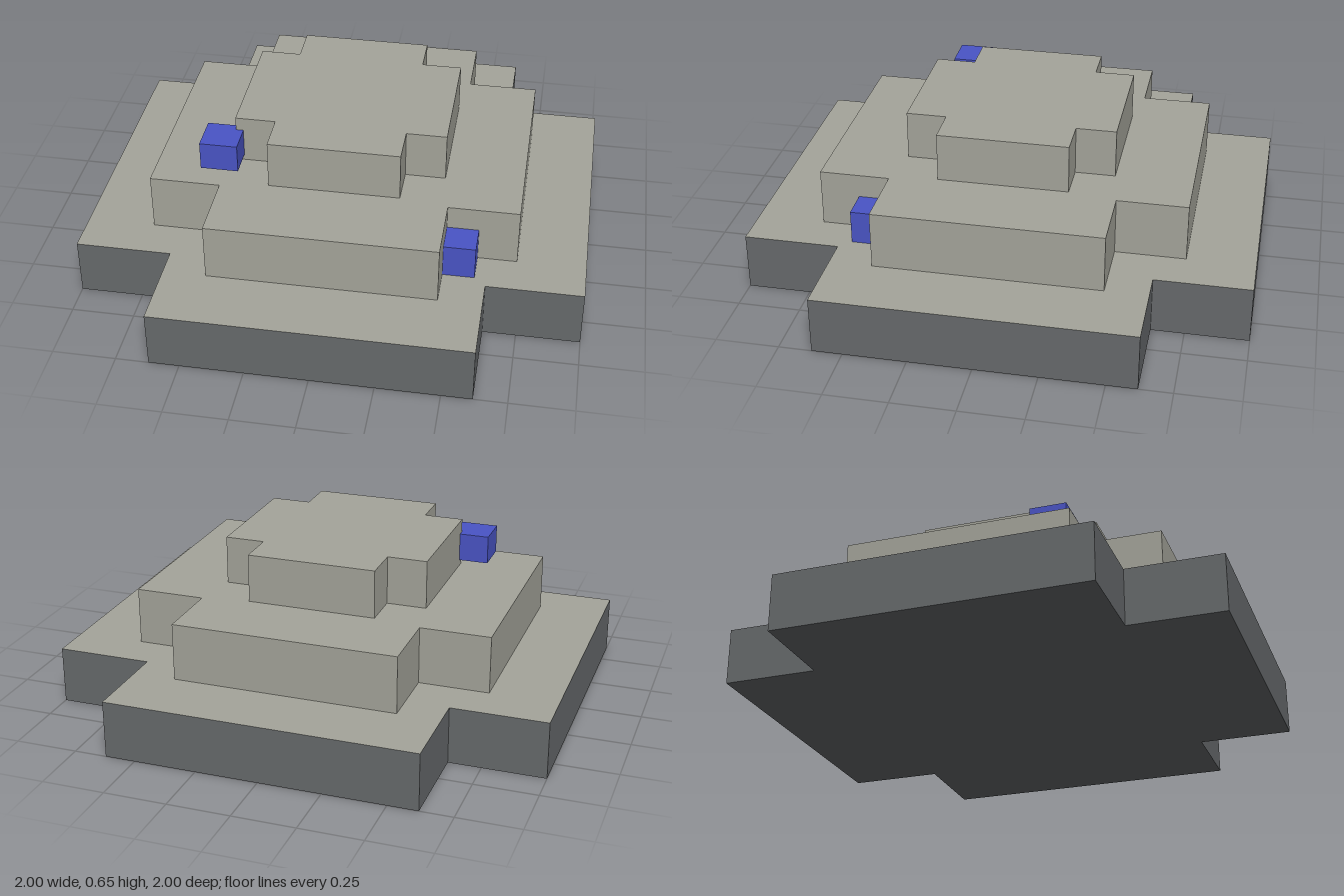
import * as THREE from 'three';

// Plus-shaped slab standing on y; long is the arm reach, short the arm half-width
function crossSlab(long, short, y, height) {
  const corner = [[long, -short], [long, short], [short, short], [short, long]];
  const points = [];
  for (let q = 0; q < 4; q++) {
    // rotate the first three corners of each quarter by q * 90 degrees
    for (const [px, py] of corner.slice(0, 3)) {
      let [a, b] = [px, py];
      for (let i = 0; i < q; i++) [a, b] = [-b, a];
      points.push(new THREE.Vector2(a, b));
    }
  }
  const geometry = new THREE.ExtrudeGeometry(new THREE.Shape(points), { depth: height, bevelEnabled: false });
  geometry.rotateX(-Math.PI / 2).translate(0, y, 0);
  return geometry;
}

export function createModel() {
  const model = new THREE.Group();
  model.name = 'steppedPlatform';

  const stone = new THREE.MeshStandardMaterial({ name: 'pale stone', color: 0xa5a59b });
  const darkStone = new THREE.MeshStandardMaterial({ name: 'dark stone', color: 0x676a6c });
  const blue = new THREE.MeshStandardMaterial({ name: 'blue', color: 0x4a55c6 });

  const add = (name, geometry, material) => {
    const mesh = new THREE.Mesh(geometry, material);
    mesh.name = name;
    model.add(mesh);
  };

  // Base: dark underside and walls, pale top face
  const base = crossSlab(1, 0.62, 0, 0.23);
  const [caps, walls] = base.groups.map((g) => ({ ...g }));
  base.clearGroups();
  base.addGroup(caps.start, caps.count / 2, 0);
  base.addGroup(caps.start + caps.count / 2, caps.count / 2, 1);
  base.addGroup(walls.start, walls.count, 0);
  add('baseTier', base, [darkStone, stone]);

  // Upper tiers
  add('middleTier', crossSlab(0.73, 0.45, 0.23, 0.23), stone);
  add('topTier', crossSlab(0.42, 0.26, 0.46, 0.195), stone);

  // Small blocks: one tucked in the front left notch, one hovering over the middle tier
  add('notchBlock', new THREE.BoxGeometry(0.125, 0.135, 0.125).translate(0.5125, 0.2975, 0.5125), blue);
  add('hoveringBlock', new THREE.BoxGeometry(0.15, 0.115, 0.15).translate(-0.465, 0.5425, 0.305), blue);

  return model;
}
